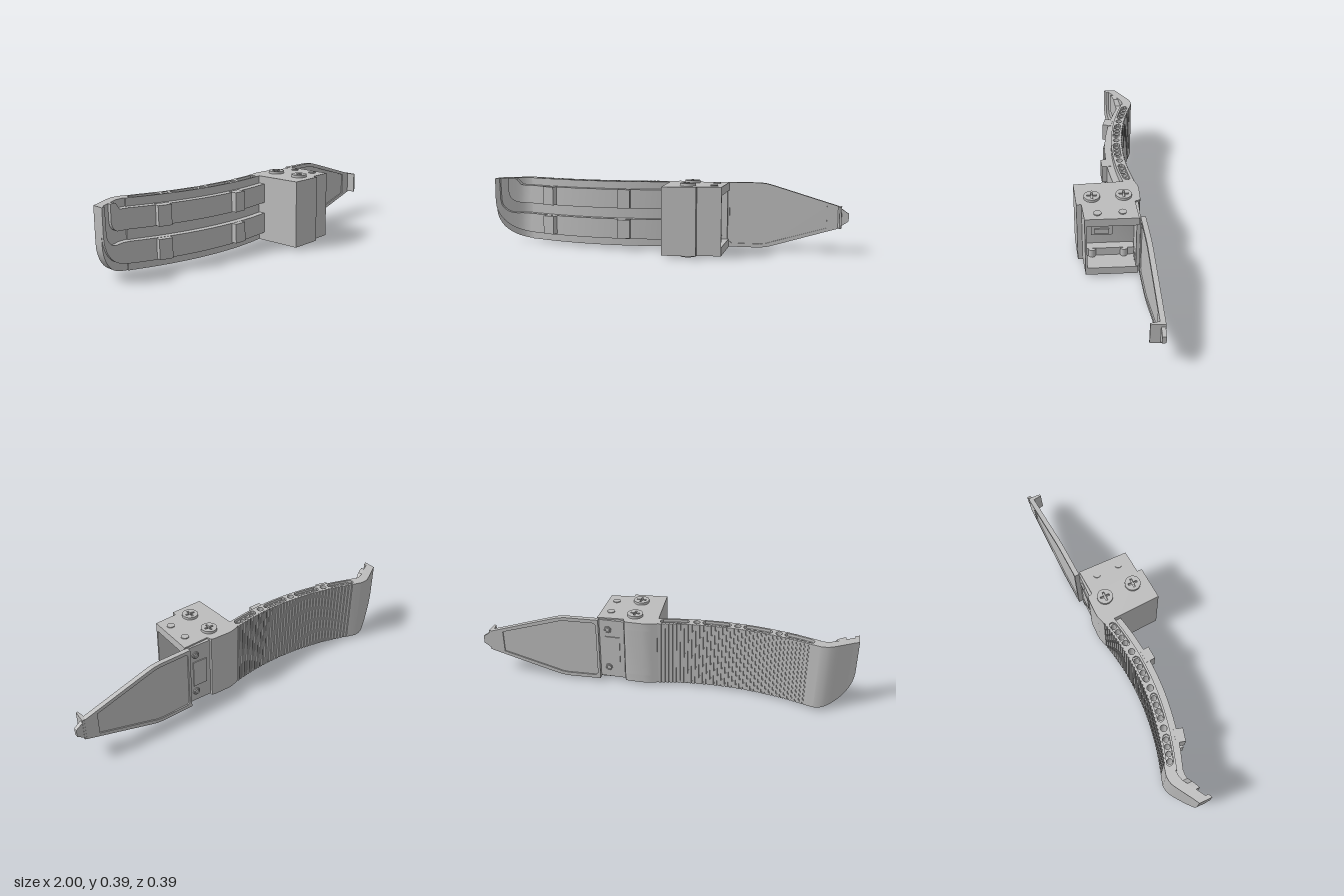
import * as THREE from 'three';
import { toCreasedNormals } from 'three/addons/utils/BufferGeometryUtils.js';

const grey = new THREE.MeshStandardMaterial({ color: 0xbcbcbc });
grey.name = 'machined grey';

// Height range and centre line of the main body
const Y0 = 0.014, Y1 = 0.376, MID = 0.195;

// Back face of the grip: a shallow arc, then a flap bent forward
const flap = [[-1, -0.095], [-0.97, -0.112], [-0.87, -0.174], [-0.845, -0.182], [-0.815, -0.184], [-0.77, -0.172]];
function back(x) {
  if (x > -0.77) return -0.093 - 0.357 * (x + 0.3) ** 2;
  let i = 1;
  while (i < flap.length - 1 && flap[i][0] < x) i++;
  const [a, b] = [flap[i - 1], flap[i]];
  return a[1] + (b[1] - a[1]) * (x - a[0]) / (b[0] - a[0]);
}
const railFront = x => back(x) + THREE.MathUtils.lerp(0.07, 0.1, THREE.MathUtils.smoothstep(x, -1, -0.75));
const quarter = t => { t = THREE.MathUtils.clamp(t, 0, 1); return 1 - Math.sqrt(1 - t * t); };
const bottom = x => Y0 + 0.185 * quarter((-0.8 - x) / 0.2);

function range(a, b, n) {
  return Array.from({ length: n + 1 }, (_, i) => a + (b - a) * i / n);
}

// Four-sided loft along x between height and depth functions
function strip(xs, lo, hi, zb, zf) {
  const rings = xs.map(x => [[x, lo(x), zb(x)], [x, lo(x), zf(x)], [x, hi(x), zf(x)], [x, hi(x), zb(x)]]);
  const out = [];
  const tri = (...p) => p.forEach(q => out.push(...q));
  for (let i = 0; i < rings.length - 1; i++) {
    for (let k = 0; k < 4; k++) {
      const n = (k + 1) % 4, a = rings[i][k], b = rings[i][n], c = rings[i + 1][n], d = rings[i + 1][k];
      tri(a, c, b, a, d, c);
    }
  }
  const s = rings[0], e = rings[rings.length - 1];
  tri(s[0], s[1], s[2], s[0], s[2], s[3]);
  tri(e[0], e[2], e[1], e[0], e[3], e[2]);
  const g = new THREE.BufferGeometry();
  g.setAttribute('position', new THREE.Float32BufferAttribute(out, 3));
  g.computeVertexNormals();
  return toCreasedNormals(g, 0.5);
}

// Extruded outline with holes; the outline is wound so that hole walls face inward
function extrude(pts, depth, holes = []) {
  const shape = new THREE.Shape(THREE.ShapeUtils.isClockWise(pts) ? pts.slice().reverse() : pts);
  shape.holes = holes.map(h => new THREE.Path(h));
  return new THREE.ExtrudeGeometry(shape, { depth, bevelEnabled: false });
}

// Plan outline in (x, z), extruded upward from y0 to y1
const plan = pts => pts.map(([x, z]) => new THREE.Vector2(x, -z));
function upright(pts, y0, y1, holes = []) {
  const g = extrude(plan(pts), y1 - y0, holes.map(plan));
  return toCreasedNormals(g.rotateX(-Math.PI / 2).translate(0, y0, 0), 0.45);
}
function circle(x, z, r, n = 16) {
  return range(0, 2 * Math.PI, n).slice(0, n).map(a => [x + r * Math.cos(a), z + r * Math.sin(a)]);
}

export function createModel() {
  const root = new THREE.Group();
  root.name = 'foldingTool';
  const add = (name, geo, parent = root) => {
    const m = new THREE.Mesh(geo, grey);
    m.name = name;
    parent.add(m);
    return m;
  };
  const box = (name, x0, x1, y0, y1, z0, z1) => add(name,
    new THREE.BoxGeometry(x1 - x0, y1 - y0, z1 - z0).translate((x0 + x1) / 2, (y0 + y1) / 2, (z0 + z1) / 2));

  // Grip slab: finely ribbed back, smooth front
  const outline = [[-0.81, back(-0.81)]];
  for (let i = 0; i < 40; i++) {
    const x = -0.77 + i * 0.02;
    for (const [dx, dz] of [[0, 0], [0.013, 0], [0.014, 0.005], [0.019, 0.005]]) outline.push([x + dx, back(x + dx) + dz]);
  }
  outline.push([0.06, back(0.06)]);
  range(0.06, -0.81, 30).forEach(x => outline.push([x, back(x) + 0.062]));

  // Row of round holes and long slots in the grip edges
  const lane = x => back(x) + 0.033;
  const slots = [], drilled = [], single = [];
  [-0.78, -0.565, -0.35, -0.13].forEach((s, i) => {
    const xs = range(s + 0.012, s + 0.138, 8);
    slots.push([[s, lane(s) - 0.007], ...xs.map(x => [x, lane(x) - 0.018]), [s + 0.15, lane(s + 0.15) - 0.007],
      [s + 0.15, lane(s + 0.15) + 0.007], ...xs.reverse().map(x => [x, lane(x) + 0.018]), [s, lane(s) + 0.007]]);
    for (let k = 0; k < 4; k++) {
      const x = s + 0.0225 + k * 0.035;
      drilled.push(circle(x, lane(x), 0.014));
    }
    if (i < 3) single.push(circle(s + 0.181, lane(s + 0.181), 0.017));
  });
  add('gripCore', upright(outline, Y0 + 0.015, Y1 - 0.015, [...drilled, ...single]));
  add('gripLowerEdge', upright(outline, Y0, Y0 + 0.015, [...slots, ...single]));
  add('gripUpperEdge', upright(outline, Y1 - 0.015, Y1, [...slots, ...single]));

  // Bent end flap with one rounded corner
  const endXs = [-1, -0.997, -0.99, -0.978, -0.975, -0.97, -0.96, -0.945, -0.933, -0.925, -0.91, -0.89, -0.865, -0.845, -0.815, -0.8];
  add('endFlap', strip(endXs, bottom, () => Y1, back, x => back(x) + 0.055));

  // Two raised rails, parted by a groove that sweeps up at the end
  const railXs = [...endXs, ...range(-0.77, 0.06, 24)];
  const railBack = x => back(x) + (x > -0.8 ? 0.055 : 0.03);
  add('lowerRail', strip(railXs, x => bottom(x) + 0.045,
    x => x < -0.976 ? Y1 : 0.17 + 0.08 * quarter((-0.89 - x) / 0.085), railBack, railFront));
  add('upperRail', strip(railXs.filter(x => x > -0.935),
    x => 0.23 + 0.065 * quarter((-0.86 - x) / 0.074),
    x => THREE.MathUtils.lerp(Y1, 0.335, THREE.MathUtils.smoothstep(x, -0.9, -0.86)), railBack, railFront));

  // Small blocks on the rails
  for (const [x, z] of [[-0.658, -0.03], [-0.207, 0.008]]) {
    for (const y of [0.117, 0.285]) {
      const b = add('railBlock', new THREE.BoxGeometry(0.07, 0.104, 0.05));
      b.position.set(x, y, z);
      b.rotation.y = Math.atan(0.714 * (x + 0.3));
    }
  }

  // Hinge housing: solid rear, two plates and a thin front wall, open at the side
  const rear = [[0.03, -0.131], [0.055, -0.139], [0.08, -0.147], [0.11, -0.149], [0.19, -0.149], [0.205, -0.145], [0.215, -0.12]];
  const corner = [[0.23, 0.181], [0.05, 0.194], [0.037, -0.035]];
  add('housingBody', upright([...rear, [0.215, 0.155], [0.23, 0.155], ...corner], Y0 + 0.045, Y1 - 0.045));
  const plate = [...rear, [0.357, -0.13], [0.357, 0.143], [0.23, 0.155], ...corner];
  add('housingBottom', upright(plate, Y0, Y0 + 0.045));
  add('housingTop', upright(plate, Y1 - 0.045, Y1));
  add('housingFrontWall', upright([[0.21, 0.157], [0.357, 0.143], [0.357, 0.133], [0.21, 0.145]], Y0 + 0.045, Y1 - 0.045));

  // Inner bars, pins and catch in the housing
  for (const y of [0.087, 0.305]) {
    box('innerBar', 0.21, 0.26, y - 0.024, y + 0.024, -0.115, 0.145);
    for (const z of [-0.063, 0.105]) {
      add('innerPin', new THREE.CylinderGeometry(0.02, 0.02, 0.046, 16)).position.set(0.258, y, z);
    }
  }
  box('catchFrame', 0.21, 0.222, 0.17, 0.225, -0.005, 0.108);
  box('catch', 0.22, 0.23, 0.182, 0.213, 0.014, 0.09);

  // Cross-head screws and small plain screws, on top and underneath
  function screw(x, z, r, h, crossed) {
    const a = r * 0.12, b = r * 0.6;
    const cross = [[a, a], [a, b], [-a, b], [-a, a], [-b, a], [-b, -a], [-a, -a], [-a, -b], [a, -b], [a, -a], [b, -a], [b, a]];
    for (const top of [true, false]) {
      const m = add('screwHead', upright(circle(0, 0, r, 24), 0, h, crossed ? [cross] : []));
      m.position.set(x, top ? Y1 : Y0, z);
      if (!top) m.rotation.x = Math.PI;
    }
  }
  screw(0.165, -0.065, 0.042, 0.014, true);
  screw(0.173, 0.1, 0.042, 0.014, true);
  screw(0.303, -0.05, 0.02, 0.005, false);
  screw(0.308, 0.077, 0.02, 0.005, false);

  // Hinge leaf behind the housing
  box('hingeLeaf', 0.21, 0.35, Y0 + 0.008, Y1 - 0.008, -0.137, -0.118);
  box('hingeKnuckle', 0.235, 0.315, 0.12, 0.27, -0.142, -0.13);
  for (const y of [0.08, 0.312]) {
    const s = add('hingeScrew', new THREE.CylinderGeometry(0.02, 0.02, 0.03, 20).rotateX(Math.PI / 2));
    s.position.set(0.3, y, -0.128);
    const p = add('hingeRing', new THREE.TorusGeometry(0.013, 0.004, 6, 20));
    p.position.set(0.3, y, -0.143);
  }

  // Blade: rim around a thin panel, swung slightly backward
  const blade = new THREE.Group();
  blade.name = 'blade';
  blade.position.set(0.345, MID, -0.149);
  blade.rotation.y = 0.053;
  root.add(blade);
  const mirrored = half => [...half, ...half.slice().reverse().map(([x, y]) => [x, -y])].map(p => new THREE.Vector2(...p));
  const slab = (half, depth, holes = []) =>
    extrude(mirrored(half), depth, holes.map(mirrored)).translate(0, 0, -depth / 2);
  const inner = [[0.014, 0.148], [0.026, 0.16], [0.18, 0.16], [0.215, 0.156], [0.25, 0.145], [0.54, 0.06]];
  add('bladeRim', slab([[0, 0.18], [0.18, 0.18], [0.22, 0.175], [0.26, 0.164], [0.61, 0.058]], 0.026, [inner]), blade);
  add('bladePanel', slab(inner, 0.012), blade);
  add('bladeTip', slab([[0.6, 0.06], [0.62, 0.045], [0.655, 0.02]], 0.02), blade);
  add('tipHook', upright([[0.595, -0.012], [0.62, -0.012], [0.614, 0.058], [0.604, 0.058]], -0.056, 0.06), blade);
  return root;
}
